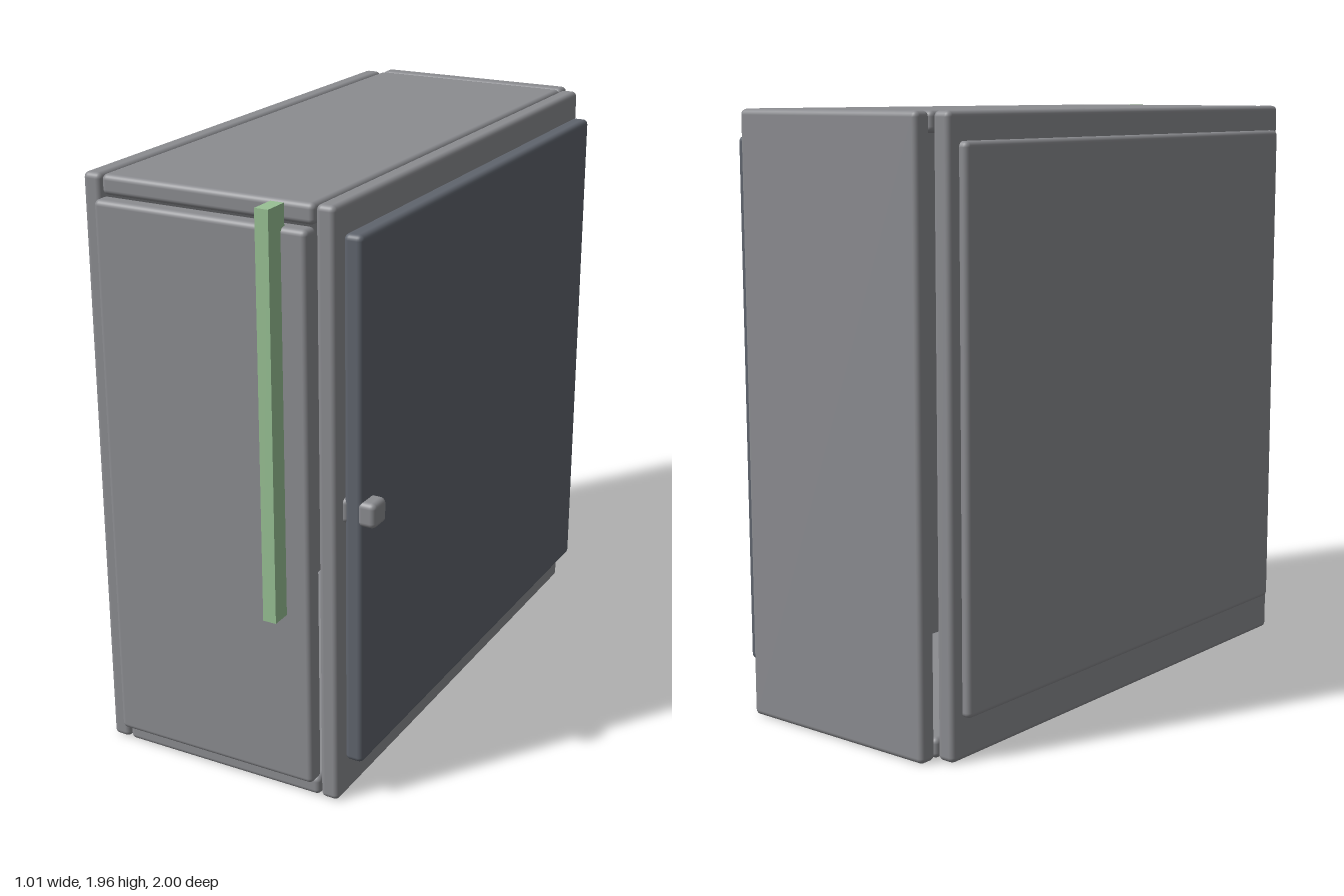
import * as THREE from 'three';
import { RoundedBoxGeometry } from 'three/addons/geometries/RoundedBoxGeometry.js';

const grey = new THREE.MeshStandardMaterial({ color: 0x8b8c90 });
const slate = new THREE.MeshStandardMaterial({ color: 0x5f646d });
const green = new THREE.MeshStandardMaterial({ color: 0x98c094 });

// Box given by its extents along each axis, with softened edges when radius > 0
function slab(name, [x0, x1], [y0, y1], [z0, z1], material = grey, radius = 0.018) {
  const size = [x1 - x0, y1 - y0, z1 - z0];
  const geometry = radius > 0
    ? new RoundedBoxGeometry(...size, 3, radius)
    : new THREE.BoxGeometry(...size);
  const mesh = new THREE.Mesh(geometry, material);
  mesh.name = name;
  mesh.position.set((x0 + x1) / 2, (y0 + y1) / 2, (z0 + z1) / 2);
  return mesh;
}

export function createModel() {
  const model = new THREE.Group();
  model.name = 'cabinet';

  const height = [0, 1.957];
  const depth = [-0.935, 0.888];
  const inner = [-0.407, 0.328];
  const doorHeight = [0.135, 1.87];
  const doorDepth = [-0.89, 0.846];

  // Hollow carcass made of separate boards
  model.add(
    slab('rightSidePanel', [-0.474, -0.41], height, depth),
    slab('leftSidePanel', [0.331, 0.395], height, depth),
    slab('topPanel', inner, [1.892, 1.957], depth),
    slab('bottomPanel', inner, [0, 0.065], depth),
    slab('backPanel', inner, height, [-1, -0.937]),
    slab('frontPanel', inner, [0.068, 1.889], [0.869, 0.934])
  );

  // Overlay panel on one side, door on the other
  model.add(
    slab('sideOverlay', [-0.503, -0.44], doorHeight, doorDepth),
    slab('door', [0.397, 0.46], doorHeight, doorDepth, slate)
  );

  // Knob on both faces of the door
  for (const [name, x] of [['outerKnob', [0.44, 0.503]], ['innerKnob', [0.352, 0.414]]]) {
    model.add(slab(name, x, [0.963, 1.045], [0.764, 0.847]));
  }

  // Upright strip on the front
  model.add(slab('frontStrip', [0.2, 0.245], [0.657, 1.957], [0.912, 1], green, 0));

  return model;
}
